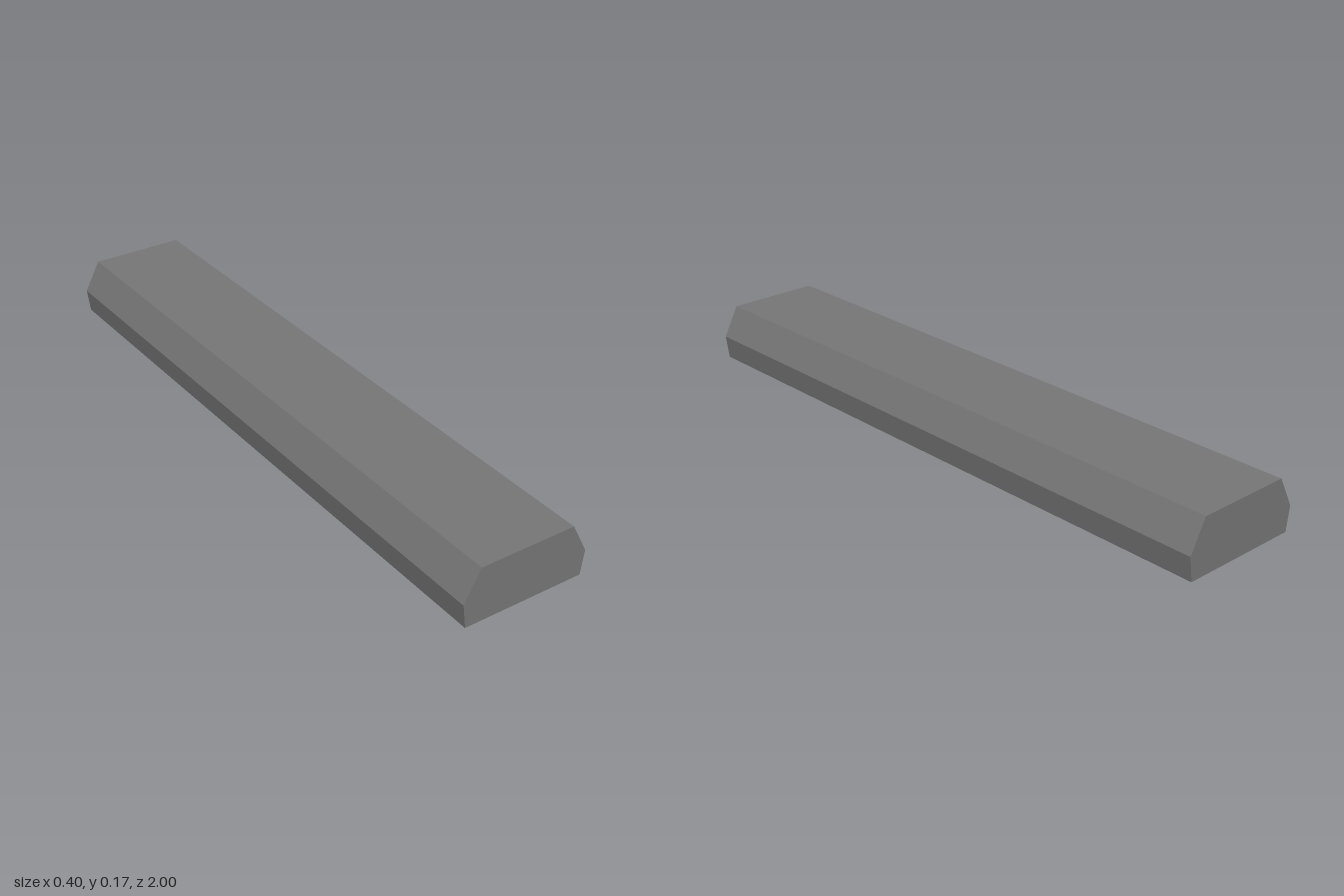
import * as THREE from 'three';

const LENGTH = 2;
// Housing cross-section, open along the bottom
const PROFILE = [[0.19, 0], [0.2, 0.075], [0.15, 0.17], [-0.15, 0.17], [-0.2, 0.075], [-0.19, 0]];

function createHousing(material) {
  const housing = new THREE.Group();
  housing.name = 'housing';

  // Folded sheet: one flat strip per profile edge
  const positions = [];
  const h = LENGTH / 2;
  for (let i = 0; i < PROFILE.length - 1; i++) {
    const [ax, ay] = PROFILE[i];
    const [bx, by] = PROFILE[i + 1];
    positions.push(ax, ay, h, bx, by, -h, bx, by, h);
    positions.push(ax, ay, h, ax, ay, -h, bx, by, -h);
  }
  const sheet = new THREE.BufferGeometry();
  sheet.setAttribute('position', new THREE.Float32BufferAttribute(positions, 3));
  sheet.computeVertexNormals();
  const cover = new THREE.Mesh(sheet, material);
  cover.name = 'cover';
  housing.add(cover);

  // End plates
  const plate = new THREE.ShapeGeometry(new THREE.Shape(PROFILE.map(([x, y]) => new THREE.Vector2(x, y))));
  for (const side of [1, -1]) {
    const cap = new THREE.Mesh(plate, material);
    cap.name = side > 0 ? 'frontEndPlate' : 'backEndPlate';
    cap.position.z = side * h;
    if (side < 0) cap.rotation.y = Math.PI;
    housing.add(cap);
  }
  return housing;
}

export function createModel() {
  const model = new THREE.Group();
  model.name = 'tubeLight';

  const housingMaterial = new THREE.MeshStandardMaterial({ color: 0x777777, side: THREE.DoubleSide });
  const tubeMaterial = new THREE.MeshStandardMaterial({ color: 0xeeeeee });
  const socketMaterial = new THREE.MeshStandardMaterial({ color: 0x111111 });

  model.add(createHousing(housingMaterial));

  // Three lamps, each a tube held by a socket at both ends
  const socketLength = 0.1;
  const tubeGeometry = new THREE.CylinderGeometry(0.028, 0.028, LENGTH - 2 * socketLength, 32).rotateX(Math.PI / 2);
  const socketGeometry = new THREE.CylinderGeometry(0.036, 0.036, socketLength - 0.002, 32).rotateX(Math.PI / 2);
  for (const x of [-0.095, 0, 0.095]) {
    const lamp = new THREE.Group();
    lamp.name = 'lamp';
    lamp.position.set(x, 0.07, 0);
    const tube = new THREE.Mesh(tubeGeometry, tubeMaterial);
    tube.name = 'tube';
    lamp.add(tube);
    for (const side of [1, -1]) {
      const socket = new THREE.Mesh(socketGeometry, socketMaterial);
      socket.name = 'socket';
      socket.position.z = side * (LENGTH / 2 - socketLength / 2 - 0.001);
      lamp.add(socket);
    }
    model.add(lamp);
  }
  return model;
}
